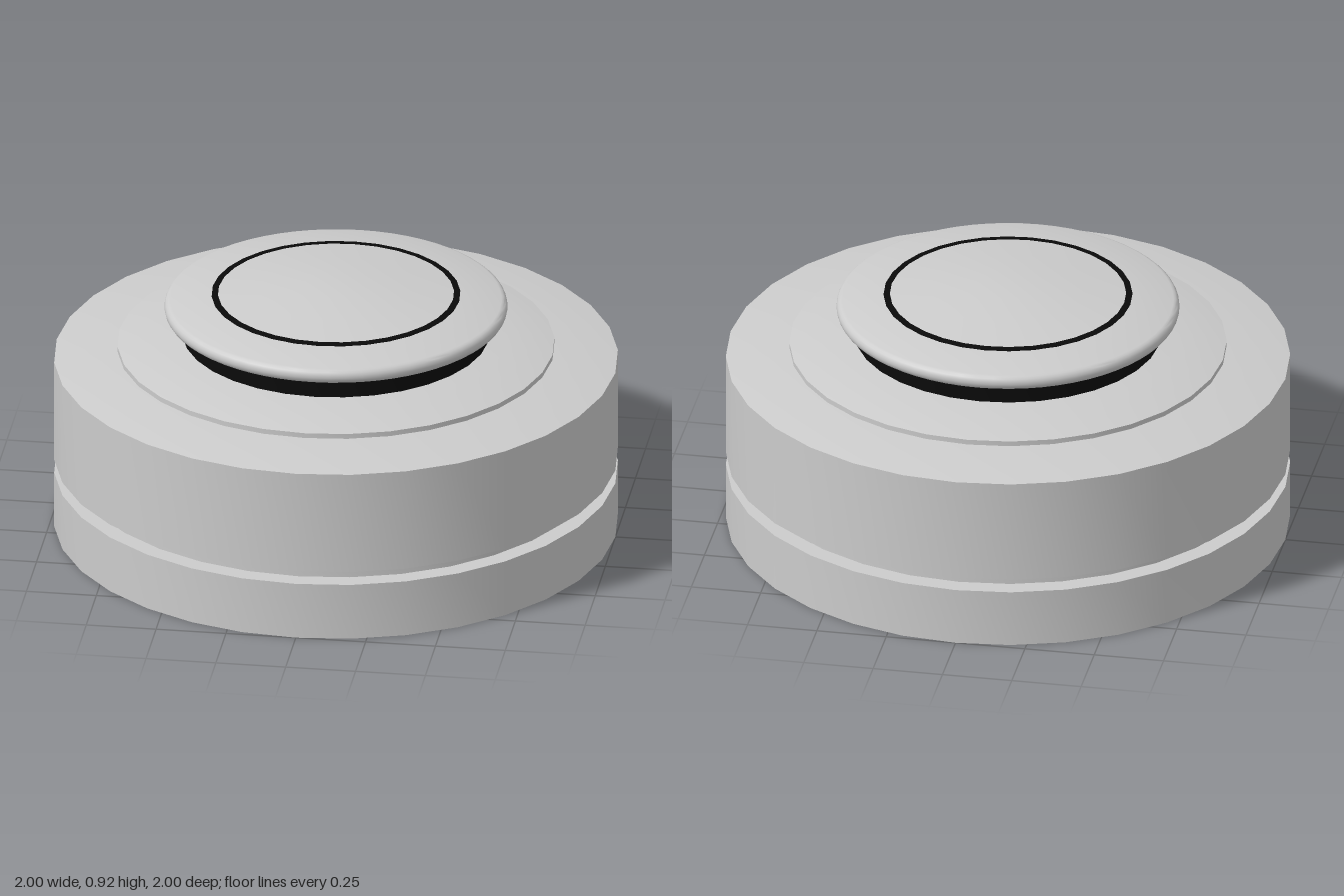
import * as THREE from 'three';
import { toCreasedNormals } from 'three/addons/utils/BufferGeometryUtils.js';

const grey = new THREE.MeshStandardMaterial({ color: 0xcccccc });
const black = new THREE.MeshStandardMaterial({ color: 0x0a0a0a });

// Turned part: profile of [radius, height] pairs, listed bottom to top
function turned(name, profile, material = grey, sides = 32) {
  const points = profile.map(([r, y]) => new THREE.Vector2(r, y));
  const geometry = toCreasedNormals(new THREE.LatheGeometry(points, sides), 0.5);
  const mesh = new THREE.Mesh(geometry, material);
  mesh.name = name;
  return mesh;
}

export function createModel() {
  const model = new THREE.Group();
  model.name = 'pushButton';

  // Housing: foot, recessed groove and main drum with a sloping shoulder
  model.add(turned('foot', [[0, 0], [1, 0], [1, 0.21], [0, 0.21]]));
  model.add(turned('groove', [[0.935, 0.21], [0.935, 0.26]]));
  model.add(turned('drum', [[0, 0.26], [1, 0.26], [1, 0.64], [0.76, 0.679], [0, 0.679]]));

  // Raised collar around the plunger
  model.add(turned('collar', [[0.775, 0.67], [0.775, 0.695], [0.61, 0.732], [0, 0.732]]));

  // Dark plunger neck
  model.add(turned('neck', [[0.545, 0.73], [0.545, 0.815]], black));

  // Cap with a rounded rim and a shallow dome
  const rim = [];
  for (let i = 0; i <= 8; i++) {
    const a = -Math.PI / 2 + (i / 8) * Math.PI * 0.96;
    rim.push([0.583 + 0.025 * Math.cos(a), 0.836 + 0.027 * Math.sin(a)]);
  }
  const dome = [[0.43, 0.884], [0.27, 0.904], [0.11, 0.92], [0, 0.92]];
  model.add(turned('cap', [[0, 0.809], ...rim, ...dome], grey, 64));

  // Thin dark ring inlaid on the dome
  model.add(turned('capRing', [[0.441, 0.88], [0.441, 0.8855], [0.419, 0.8885], [0.419, 0.88]], black));

  return model;
}
